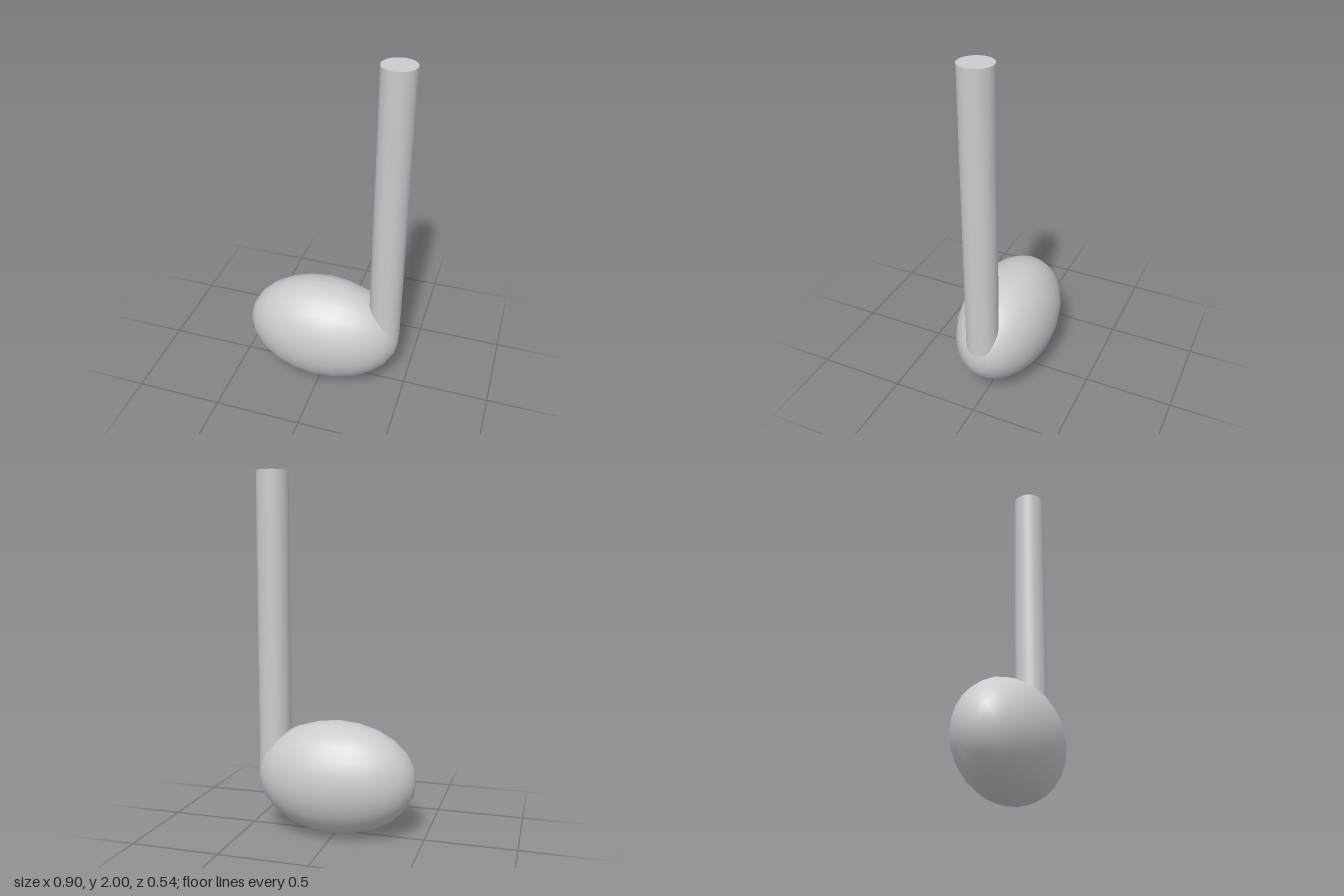
import * as THREE from 'three';

export function createModel() {
  const group = new THREE.Group();
  const material = new THREE.MeshStandardMaterial({ color: 0xcccccc });

  // Oval note head, with its poles along x
  const headGeometry = new THREE.SphereGeometry(1, 24, 12);
  headGeometry.rotateZ(Math.PI / 2);
  headGeometry.scale(0.452, 0.317, 0.272);
  const head = new THREE.Mesh(headGeometry, material);
  head.name = 'noteHead';
  head.position.y = 0.32;
  group.add(head);

  // Round upright stem, flush with the left end of the head
  const bottom = 0.37, top = 2;
  const stem = new THREE.Mesh(new THREE.CylinderGeometry(0.09, 0.09, top - bottom, 48), material);
  stem.name = 'stem';
  stem.position.set(0.362, (top + bottom) / 2, 0);
  group.add(stem);

  return group;
}
